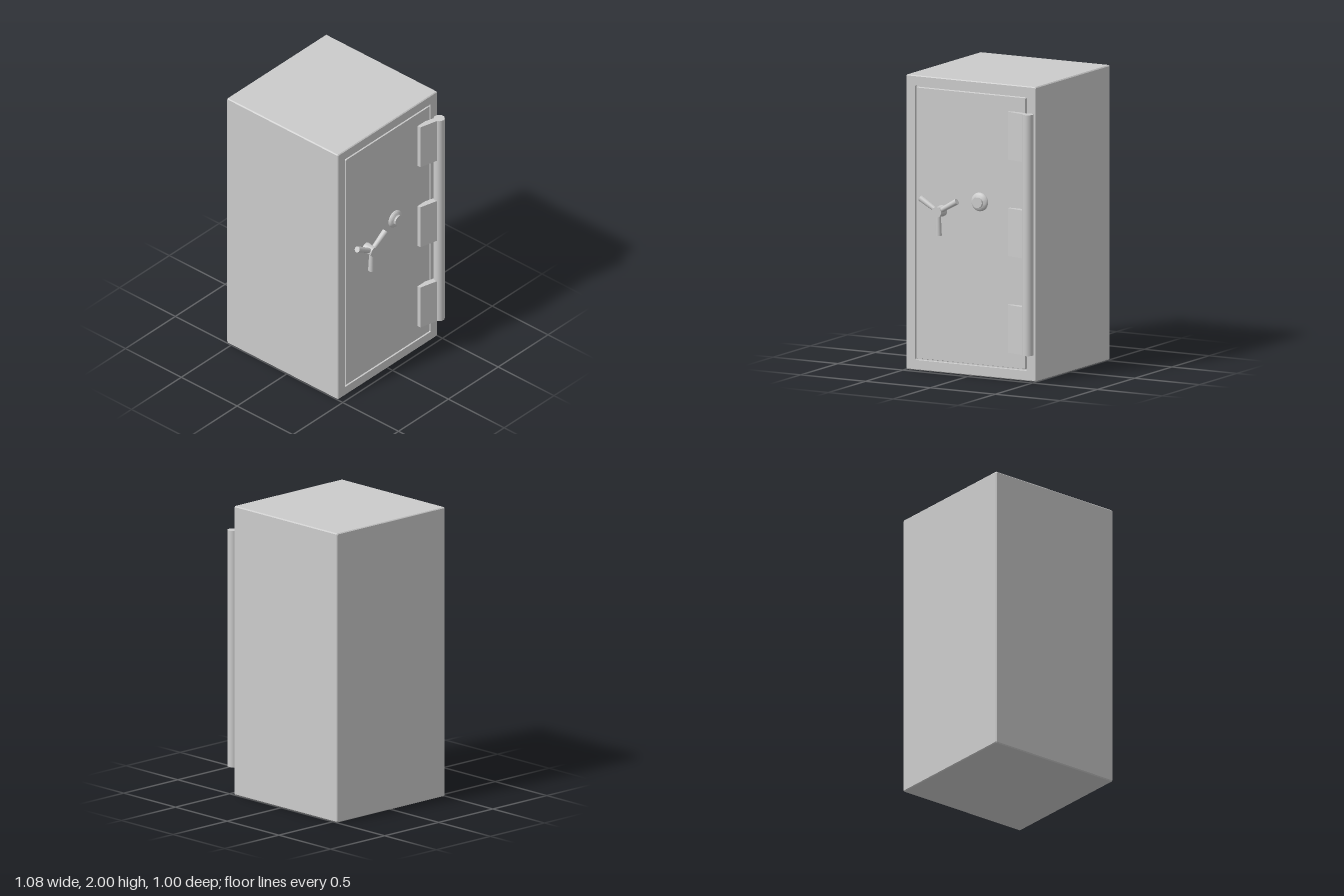
import * as THREE from 'three';
import { toCreasedNormals } from 'three/addons/utils/BufferGeometryUtils.js';

const FACE = 0.457; // x of the door side

export function createModel() {
  const model = new THREE.Group();
  const mat = new THREE.MeshStandardMaterial({ color: 0xcccccc });

  const add = (name, geometry, parent = model) => {
    const mesh = new THREE.Mesh(geometry, mat);
    mesh.name = name;
    parent.add(mesh);
    return mesh;
  };

  // Rectangle with clipped corners in the y-z plane, counter-clockwise seen from +x
  const ring = ([x, hz, hy, c]) => [
    [hy, -hz + c], [hy, hz - c], [hy - c, hz], [-hy + c, hz],
    [-hy, hz - c], [-hy, -hz + c], [-hy + c, -hz], [hy - c, -hz],
  ].map(([y, z]) => [x, y + 1, z]);

  // Skin a row of rings along x, closed at both ends
  const loft = (sections) => {
    const rings = sections.map(ring);
    const last = rings.length - 1;
    const pos = [];
    const tri = (a, b, c) => pos.push(...a, ...b, ...c);
    const start = [sections[0][0], 1, 0], end = [sections[last][0], 1, 0];
    for (let i = 0; i < 8; i++) {
      const j = (i + 1) % 8;
      tri(start, rings[0][j], rings[0][i]);
      for (let k = 0; k < last; k++) {
        const a = rings[k], b = rings[k + 1];
        tri(a[i], a[j], b[j]);
        tri(a[i], b[j], b[i]);
      }
      tri(end, rings[last][i], rings[last][j]);
    }
    const g = new THREE.BufferGeometry();
    g.setAttribute('position', new THREE.Float32BufferAttribute(pos, 3));
    g.computeVertexNormals();
    return g;
  };

  // Cabinet with chamfered edges, frame, door groove and door face: [x, half depth, half height, corner]
  add('cabinetAndDoor', loft([
    [-0.54, 0.494, 0.994, 0.006],
    [-0.534, 0.5, 1, 0.007],
    [FACE - 0.006, 0.5, 1, 0.007],
    [FACE, 0.494, 0.994, 0.006],
    [FACE, 0.431, 0.931, 0.005],
    [FACE - 0.016, 0.429, 0.929, 0.005],
    [FACE - 0.016, 0.422, 0.922, 0.004],
    [FACE, 0.418, 0.918, 0.004],
  ]));

  // Round part turned about the x axis: [radius, x]
  const turned = (points) => toCreasedNormals(
    new THREE.LatheGeometry(points.map(([r, x]) => new THREE.Vector2(r, x)), 32).rotateZ(-Math.PI / 2), 0.5);

  // Hinge: a long pole with three wedge-shaped leaves
  const hinge = new THREE.Group();
  hinge.name = 'hinge';
  model.add(hinge);
  add('hingePole', new THREE.CylinderGeometry(0.037, 0.037, 1.635, 32), hinge)
    .position.set(0.503, 1.0025, -0.465);
  const leaf = new THREE.Shape([
    [FACE - 0.004, -0.3], [0.481, -0.3], [0.515, -0.432], [0.503, -0.46], [0.477, -0.443], [FACE - 0.004, -0.36],
  ].map(([x, z]) => new THREE.Vector2(x, z)));
  for (const top of [1.82, 1.166, 0.51]) {
    const g = new THREE.ExtrudeGeometry(leaf, { depth: 0.325, bevelEnabled: false });
    add('hingeLeaf', g.rotateX(Math.PI / 2), hinge).position.y = top;
  }

  // Combination dial
  add('combinationDial', turned([
    [0.063, -0.004], [0.063, 0.006], [0.056, 0.016], [0.046, 0.021], [0.038, 0.024],
    [0.035, 0.028], [0.037, 0.039], [0, 0.039],
  ])).position.set(FACE, 1.185, -0.07);

  // Three-spoke handle
  const handle = new THREE.Group();
  handle.name = 'handle';
  handle.position.set(FACE, 1.1, 0.22);
  model.add(handle);
  add('handleHub', turned([
    [0.038, -0.004], [0.038, 0.012], [0.033, 0.04], [0.034, 0.06], [0.036, 0.08], [0, 0.08],
  ]), handle);
  for (const angle of [-1, 1, 3].map((n) => n * Math.PI / 3)) {
    const g = new THREE.CylinderGeometry(0.021, 0.016, 0.162, 20);
    g.translate(0, 0.081, 0).rotateZ(0.03).rotateX(angle);
    add('handleSpoke', g, handle).position.x = 0.053;
  }

  return model;
}
